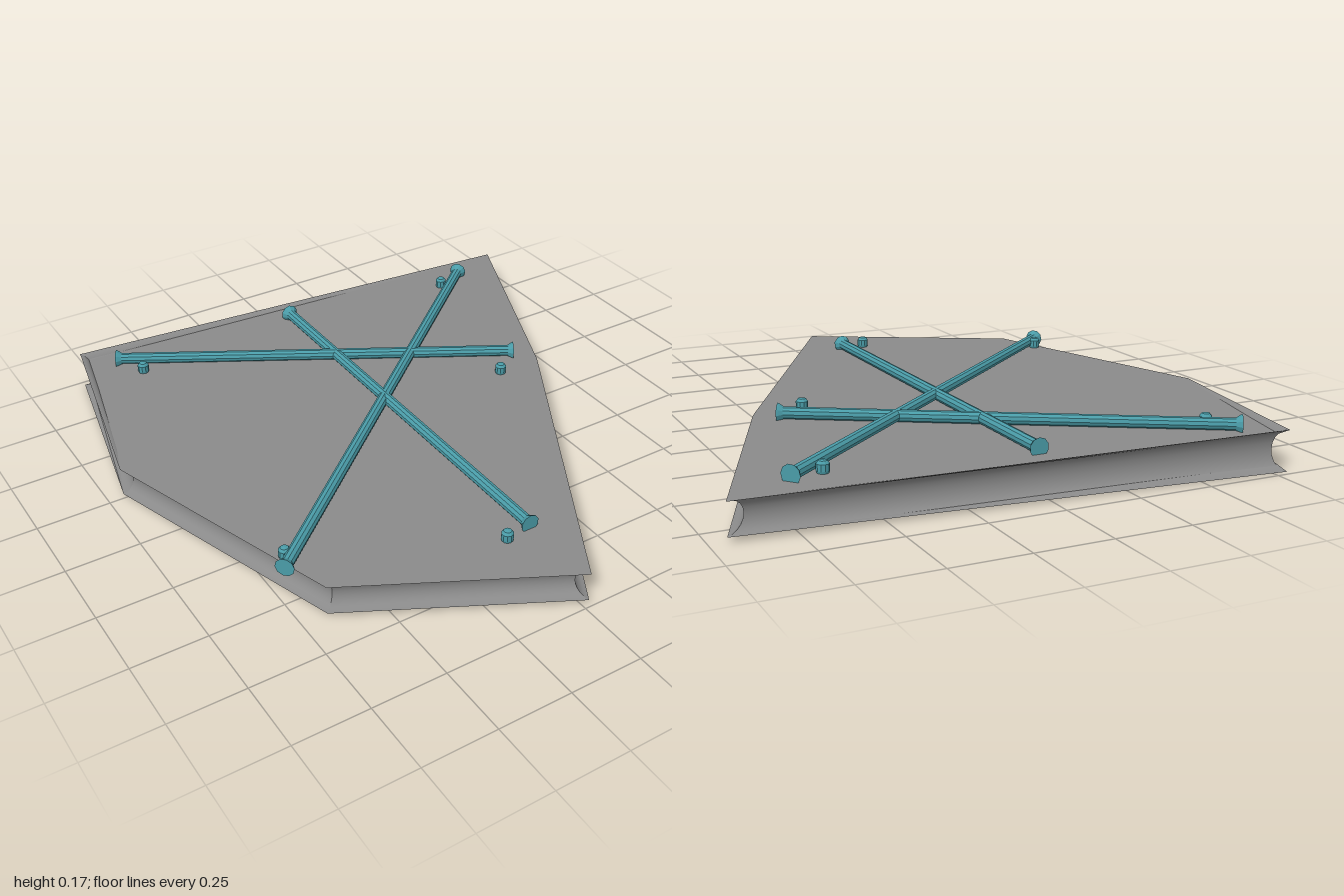
import * as THREE from 'three';

export function createModel() {
  const model = new THREE.Group();
  const slate = new THREE.MeshStandardMaterial({ color: 0x8a8a8a, side: THREE.DoubleSide });
  slate.name = 'slate grey';
  const teal = new THREE.MeshStandardMaterial({ color: 0x4a9ca8 });
  teal.name = 'teal';

  const add = (name, geometry, material) => {
    const mesh = new THREE.Mesh(geometry, material);
    mesh.name = name;
    model.add(mesh);
    return mesh;
  };
  const fromPoints = (points, index) => {
    const g = new THREE.BufferGeometry();
    g.setAttribute('position', new THREE.Float32BufferAttribute(points.flat(), 3));
    if (index) g.setIndex(index);
    g.computeVertexNormals();
    return g;
  };
  const faceted = (g) => {
    const flat = g.toNonIndexed();
    flat.computeVertexNormals();
    return flat;
  };

  // Slab outline in x, z; the first corner flares up and down
  const outline = [[-0.8, -0.98], [-0.95, -0.25], [-0.67, 0.62], [0.02, 0.99], [0.62, -0.07], [0.95, -0.85]]
    .map(([x, z]) => new THREE.Vector2(x, z));
  const n = outline.length;
  const middle = 0.068, half = 0.05, groove = 0.04, steps = 10;

  // Mitred inward offset at each corner, for an inset of one
  const mitre = outline.map((p, i) => {
    const a = p.clone().sub(outline[(i + n - 1) % n]).normalize();
    const b = outline[(i + 1) % n].clone().sub(p).normalize();
    const na = new THREE.Vector2(a.y, -a.x), nb = new THREE.Vector2(b.y, -b.x);
    return na.clone().add(nb).divideScalar(1 + na.dot(nb));
  });
  const rimPoint = (i, t) => {
    const p = outline[i].clone().addScaledVector(mitre[i], groove * Math.sin(t));
    return [p.x, middle + (i === 0 ? 0.067 : half) * Math.cos(t), p.y];
  };

  // Concave edge, one smooth strip per side
  for (let i = 0; i < n; i++) {
    const points = [], index = [];
    for (let s = 0; s <= steps; s++) {
      const t = Math.PI * s / steps;
      points.push(rimPoint(i, t), rimPoint((i + 1) % n, t));
      if (s < steps) {
        const k = s * 2;
        index.push(k, k + 2, k + 1, k + 1, k + 2, k + 3);
      }
    }
    add('slabEdge', fromPoints(points, index), slate);
  }

  // Flat faces with the narrow lips that rise to the flared corner
  for (const top of [true, false]) {
    const t = top ? 0 : Math.PI;
    const ring = outline.map((_, i) => rimPoint(i, t));
    const tip = ring[0];
    const inner = [-0.785, middle + (top ? half : -half), -0.95];
    const triangles = [];
    const tri = (a, b, c) => triangles.push(...(top ? [a, b, c] : [a, c, b]));
    for (let i = 1; i < n - 1; i++) tri(inner, ring[i], ring[i + 1]);
    tri(tip, ring[1], inner);
    tri(tip, inner, ring[n - 1]);
    add(top ? 'slabTop' : 'slabBottom', fromPoints(triangles), slate);
  }

  // Three crossed rods with flared ends
  const rods = [
    [[-0.005, -0.83], [-0.005, 0.72]],
    [[-0.70, -0.875], [0.56, -0.14]],
    [[-0.74, 0.495], [0.74, -0.765]],
  ];
  for (const [a, b] of rods) {
    const start = new THREE.Vector3(a[0], 0.138, a[1]);
    const end = new THREE.Vector3(b[0], 0.138, b[1]);
    const h = start.distanceTo(end) / 2;
    const profile = [[0, -h], [0.032, -h], [0.029, -h + 0.006], [0.02, -h + 0.02],
      [0.02, h - 0.02], [0.029, h - 0.006], [0.032, h], [0, h]]
      .map(([r, y]) => new THREE.Vector2(r, y));
    const rod = add('rod', faceted(new THREE.LatheGeometry(profile, 10)), teal);
    rod.position.copy(start).add(end).multiplyScalar(0.5);
    rod.quaternion.setFromUnitVectors(new THREE.Vector3(0, 1, 0), end.sub(start).normalize());
  }

  // Small rounded pegs beside the rod ends
  const pegProfile = [[0, 0.115], [0.017, 0.115], [0.02, 0.125], [0.02, 0.146], [0.013, 0.155], [0, 0.158]]
    .map(([r, y]) => new THREE.Vector2(r, y));
  const pegs = [[-0.64, -0.77], [0.63, -0.725], [0.45, -0.065], [-0.705, 0.43], [-0.095, 0.725]];
  for (const [x, z] of pegs) {
    add('peg', faceted(new THREE.LatheGeometry(pegProfile, 10)), teal).position.set(x, 0, z);
  }
  return model;
}
